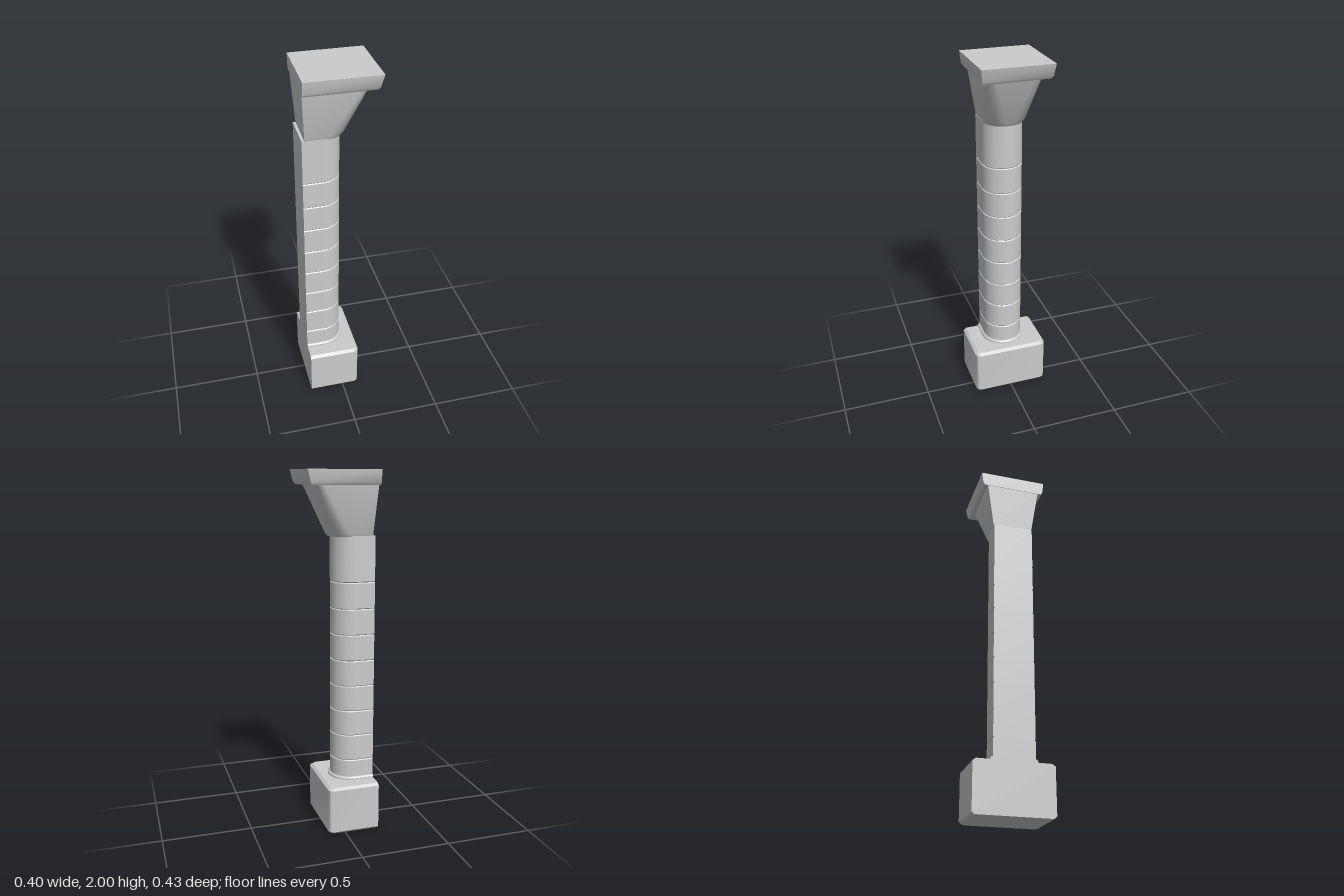
import * as THREE from 'three';
import { toCreasedNormals } from 'three/addons/utils/BufferGeometryUtils.js';

const material = new THREE.MeshStandardMaterial({ color: 0xcccccc });

// Plan outline: flat back at x0, corners of radius r at x1, half depth w.
function outline(x0, x1, w, r, segments) {
  const points = [[x0, -w]];
  for (const side of [-1, 1]) {
    for (let i = 0; i <= segments; i++) {
      const t = (i / segments) * Math.PI / 2;
      const a = side < 0 ? t - Math.PI / 2 : t;
      points.push([x1 - r + r * Math.cos(a), side * (w - r) + r * Math.sin(a)]);
    }
  }
  points.push([x0, w]);
  return points;
}

// Closed solid through sections [y, x0, x1, w, r], listed from bottom to top.
function loft(name, sections, segments) {
  const positions = [], index = [];
  let n = 0;
  for (const [y, x0, x1, w, r] of sections) {
    const points = outline(x0, x1, w, r, segments);
    n = points.length;
    for (const [x, z] of points) positions.push(x, y, z);
  }
  const last = (sections.length - 1) * n;
  for (let s = 0; s < last; s += n) {
    for (let i = 0; i < n; i++) {
      const a = s + i, b = s + (i + 1) % n;
      index.push(a, a + n, b, b, a + n, b + n);
    }
  }
  for (let i = 1; i < n - 1; i++) {
    index.push(0, i, i + 1, last, last + i + 1, last + i);
  }
  const geometry = new THREE.BufferGeometry();
  geometry.setAttribute('position', new THREE.Float32BufferAttribute(positions, 3));
  geometry.setIndex(index);
  const mesh = new THREE.Mesh(toCreasedNormals(geometry, 0.5), material);
  mesh.name = name;
  return mesh;
}

export function createModel() {
  const group = new THREE.Group();
  group.name = 'engagedColumn';
  const back = -0.195;

  // Bevelled plinth block
  group.add(loft('plinth', [
    [0, back, 0.083, 0.203, 0.025],
    [0.013, back, 0.096, 0.216, 0.027],
    [0.262, back, 0.096, 0.216, 0.027],
    [0.275, back, 0.08, 0.2, 0.025],
  ], 2));

  // Collar at the foot of the shaft
  group.add(loft('footRing', [
    [0.27, back, 0.035, 0.125, 0.125],
    [0.283, back, 0.035, 0.125, 0.125],
    [0.291, back, 0.027, 0.117, 0.117],
  ], 12));

  // D-shaped shaft with a fine groove between drums
  const R = 0.112, G = 0.107, front = 0.022;
  const shaft = [[0.275, back, front, R, R]];
  for (const y of [0.39, 0.538, 0.682, 0.826, 0.971, 1.116, 1.26, 1.406]) {
    shaft.push(
      [y - 0.005, back, front, R, R],
      [y, back, front - 0.005, G, G],
      [y + 0.005, back, front, R, R],
    );
  }
  shaft.push([1.655, back, front, R, R]);
  group.add(loft('shaft', shaft, 12));

  // Flared capital, from a rounded foot to a nearly square head
  group.add(loft('capital', [
    [1.65, -0.18, 0.035, 0.107, 0.1],
    [1.665, -0.181, 0.046, 0.114, 0.1],
    [1.925, -0.197, 0.15, 0.153, 0.05],
  ], 12));

  // Square abacus with a stepped lower edge
  group.add(loft('abacus', [
    [1.92, -0.199, 0.17, 0.172, 0],
    [1.934, -0.199, 0.181, 0.182, 0],
    [2, -0.199, 0.198, 0.19, 0],
  ], 1));

  return group;
}
